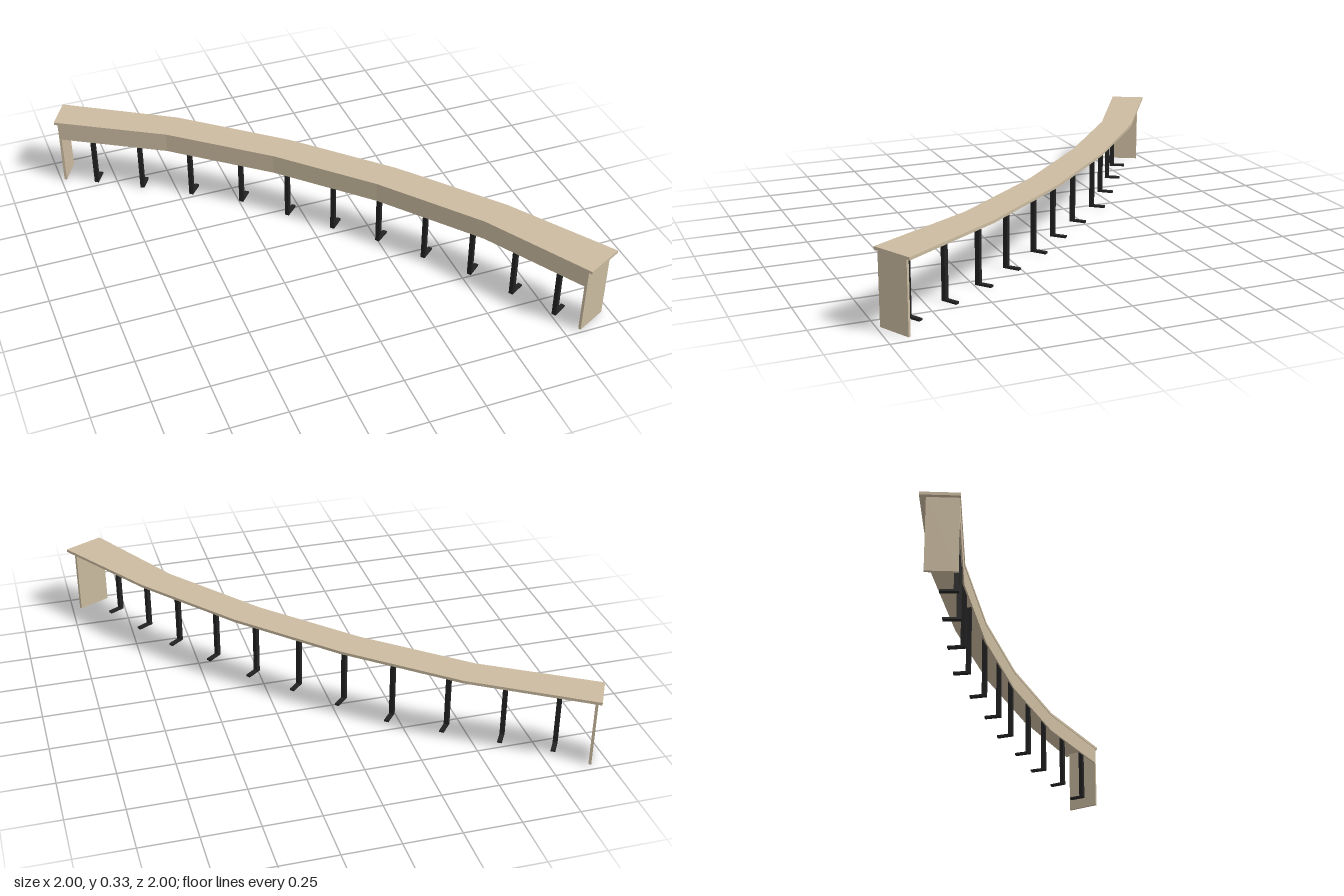
import * as THREE from 'three';

// Plan corners [x, z] along the concave and convex edges of the counter
const inner = [[-1, -0.862], [-0.535, -0.58], [-0.125, -0.24], [0.235, 0.125], [0.565, 0.54], [0.83, 1]];
const outer = [[-0.925, -1], [-0.44, -0.695], [-0.01, -0.335], [0.365, 0.045], [0.71, 0.47], [1, 0.915]];
const TOP = 0.33, UNDER = 0.317;

const wood = new THREE.MeshStandardMaterial({ color: 0xcbbba0 });
const black = new THREE.MeshStandardMaterial({ color: 0x222222 });

const mix = (a, b, t) => [a[0] + (b[0] - a[0]) * t, a[1] + (b[1] - a[1]) * t];

// Point a given distance in from one end, t of the way across the width
function endPoint(end, dist, t) {
  const i = end ? 5 : 0, j = end ? 4 : 1;
  const a = mix(inner[i], outer[i], t), b = mix(inner[j], outer[j], t);
  return mix(a, b, dist / Math.hypot(b[0] - a[0], b[1] - a[1]));
}

// Upright prism over a plan outline
function slab(name, outline, y0, y1) {
  const shape = new THREE.Shape(outline.map(([x, z]) => new THREE.Vector2(x, -z)));
  const geo = new THREE.ExtrudeGeometry(shape, { depth: y1 - y0, bevelEnabled: false });
  geo.rotateX(-Math.PI / 2).translate(0, y0, 0);
  const mesh = new THREE.Mesh(geo, wood);
  mesh.name = name;
  return mesh;
}

// Strip that follows the bend between two fractions of the width
function strip(t0, t1, inset) {
  const line = t => inner.map((p, i) =>
    i === 0 || i === 5 ? endPoint(i === 5, inset, t) : mix(p, outer[i], t));
  return [...line(t0), ...line(t1).reverse()];
}

// Square post with a flat foot pointing to the convex side
function makeLeg(x, z) {
  let s = 0;
  while (s < 4 && x > inner[s + 1][0]) s++;
  const dx = inner[s + 1][0] - inner[s][0], dz = inner[s + 1][1] - inner[s][1];
  const leg = new THREE.Group();
  leg.name = 'leg';
  const post = new THREE.Mesh(new THREE.BoxGeometry(0.02, UNDER - 0.005, 0.02), black);
  post.name = 'post';
  post.position.y = (UNDER - 0.005) / 2;
  const foot = new THREE.Mesh(new THREE.BoxGeometry(0.02, 0.009, 0.075), black);
  foot.name = 'foot';
  foot.position.set(0, 0.0045, -0.0275);
  leg.add(post, foot);
  leg.position.set(x, 0, z);
  leg.rotation.y = -Math.atan2(dz, dx);
  return leg;
}

export function createModel() {
  const model = new THREE.Group();
  model.name = 'curvedCounter';

  model.add(slab('counterTop', strip(0, 1, 0), UNDER, TOP));
  model.add(slab('modestyPanel', strip(0.015, 0.06, 0.022), 0.235, UNDER));

  // Full-height panels closing both ends
  for (const end of [0, 1]) {
    const outline = [endPoint(end, 0.016, 0.015), endPoint(end, 0.028, 0.015),
      endPoint(end, 0.028, 0.84), endPoint(end, 0.016, 0.84)];
    model.add(slab(end ? 'leftEndPanel' : 'rightEndPanel', outline, 0, UNDER));
  }

  // Legs behind the modesty panel
  const legs = [[-0.84, -0.785], [-0.645, -0.665], [-0.44, -0.53], [-0.235, -0.39], [-0.067, -0.214],
    [0.095, -0.045], [0.255, 0.115], [0.4, 0.3], [0.545, 0.48], [0.66, 0.665], [0.77, 0.855]];
  for (const [x, z] of legs) model.add(makeLeg(x, z));

  return model;
}
